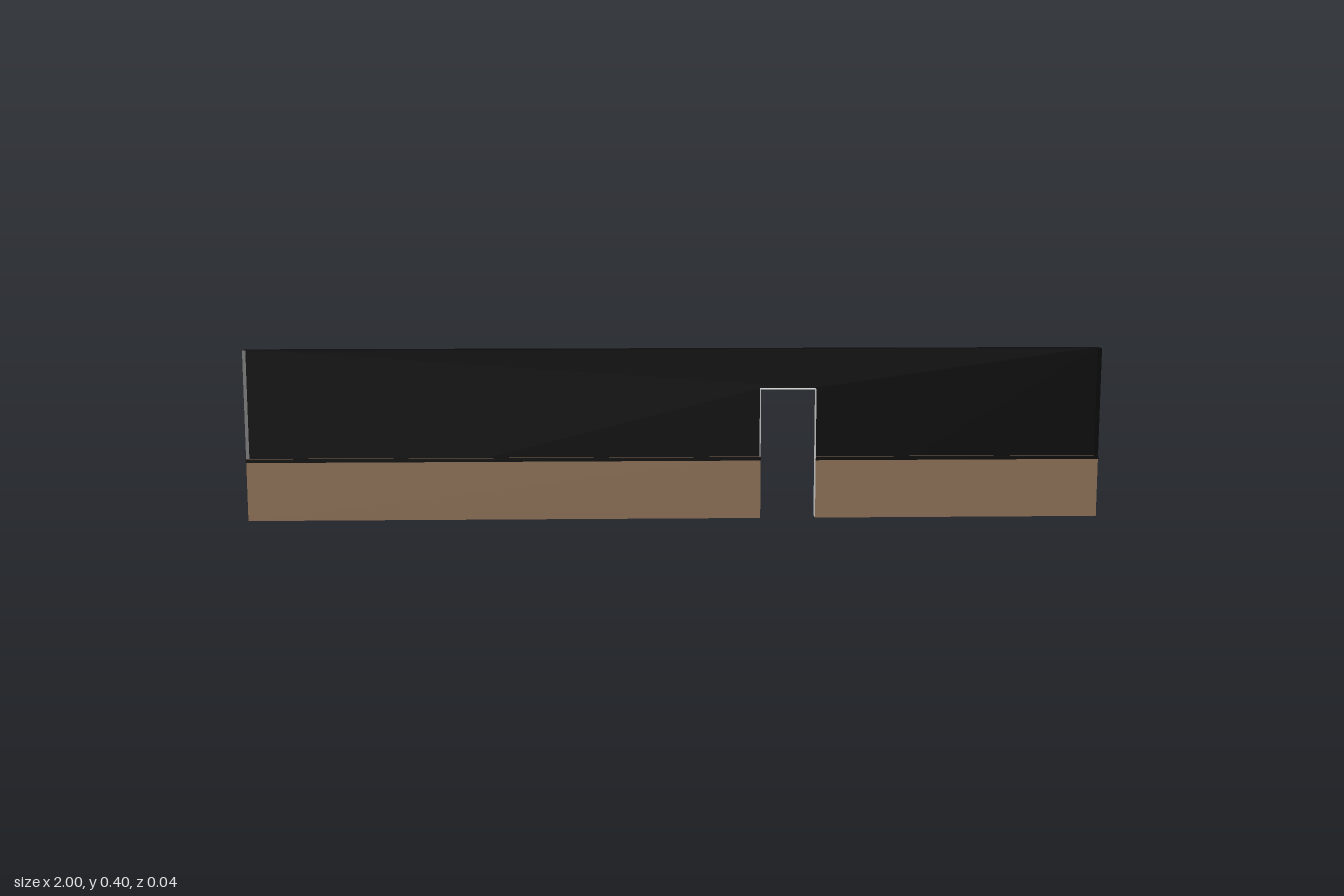
import * as THREE from 'three';

const BACK = -0.018, FRONT = 0.015, DEPTH = FRONT - BACK, MID = (FRONT + BACK) / 2;
const HEIGHT = 0.4, DOOR_L = 0.2, DOOR_R = 0.33, DOOR_TOP = 0.305, DADO = 0.147;

export function createModel() {
  const group = new THREE.Group();
  const mat = (name, color) => new THREE.MeshStandardMaterial({ name, color, side: THREE.DoubleSide });
  const black = mat('black wall', 0x0c0c0c);
  const grey = mat('pale edge', 0xd0d0d0);
  const brown = mat('brown panel', 0x91745a);

  const add = (name, geometry, material, x, y, z) => {
    const mesh = new THREE.Mesh(geometry, material);
    mesh.name = name;
    mesh.position.set(x, y, z);
    group.add(mesh);
    return mesh;
  };
  // Upright sheet across the wall thickness; side is the x direction it faces
  const upright = (name, x, height, material, side) =>
    add(name, new THREE.PlaneGeometry(DEPTH, height).rotateY(side * Math.PI / 2), material, x, height / 2, MID);
  // Level sheet across the wall thickness; side is the y direction it faces
  const level = (name, x0, x1, y, material, side) =>
    add(name, new THREE.PlaneGeometry(x1 - x0, DEPTH).rotateX(-side * Math.PI / 2), material, (x0 + x1) / 2, y, MID);

  // Back sheet with the doorway cut out, turned to face backward
  const outline = new THREE.Shape([
    [-1, 0], [-DOOR_R, 0], [-DOOR_R, DOOR_TOP], [-DOOR_L, DOOR_TOP],
    [-DOOR_L, 0], [1, 0], [1, HEIGHT], [-1, HEIGHT],
  ].map(([x, y]) => new THREE.Vector2(x, y)));
  add('wallSheet', new THREE.ShapeGeometry(outline).rotateY(Math.PI), black, 0, 0, BACK);

  // Outer edges
  level('wallTop', -1, 1, HEIGHT, black, 1);
  upright('leftEnd', 1, HEIGHT, black, 1);
  upright('rightEnd', -1, HEIGHT, grey, -1);

  // Doorway lining
  upright('doorJambRight', DOOR_L, DOOR_TOP, grey, 1);
  upright('doorJambLeft', DOOR_R, DOOR_TOP, grey, -1);
  level('doorLintel', DOOR_L, DOOR_R, DOOR_TOP, grey, -1);

  // Lower panel, rail and underside on each side of the doorway
  for (const [x0, x1] of [[-1, DOOR_L], [DOOR_R, 1]]) {
    const w = x1 - x0, cx = (x0 + x1) / 2;
    add('lowerPanel', new THREE.PlaneGeometry(w, DADO), brown, cx, DADO / 2, FRONT);
    add('panelRail', new THREE.BoxGeometry(w, 0.008, 0.004), black, cx, 0.142, FRONT + 0.002);
    level('wallUnderside', x0, x1, 0, black, -1);
  }
  return group;
}
